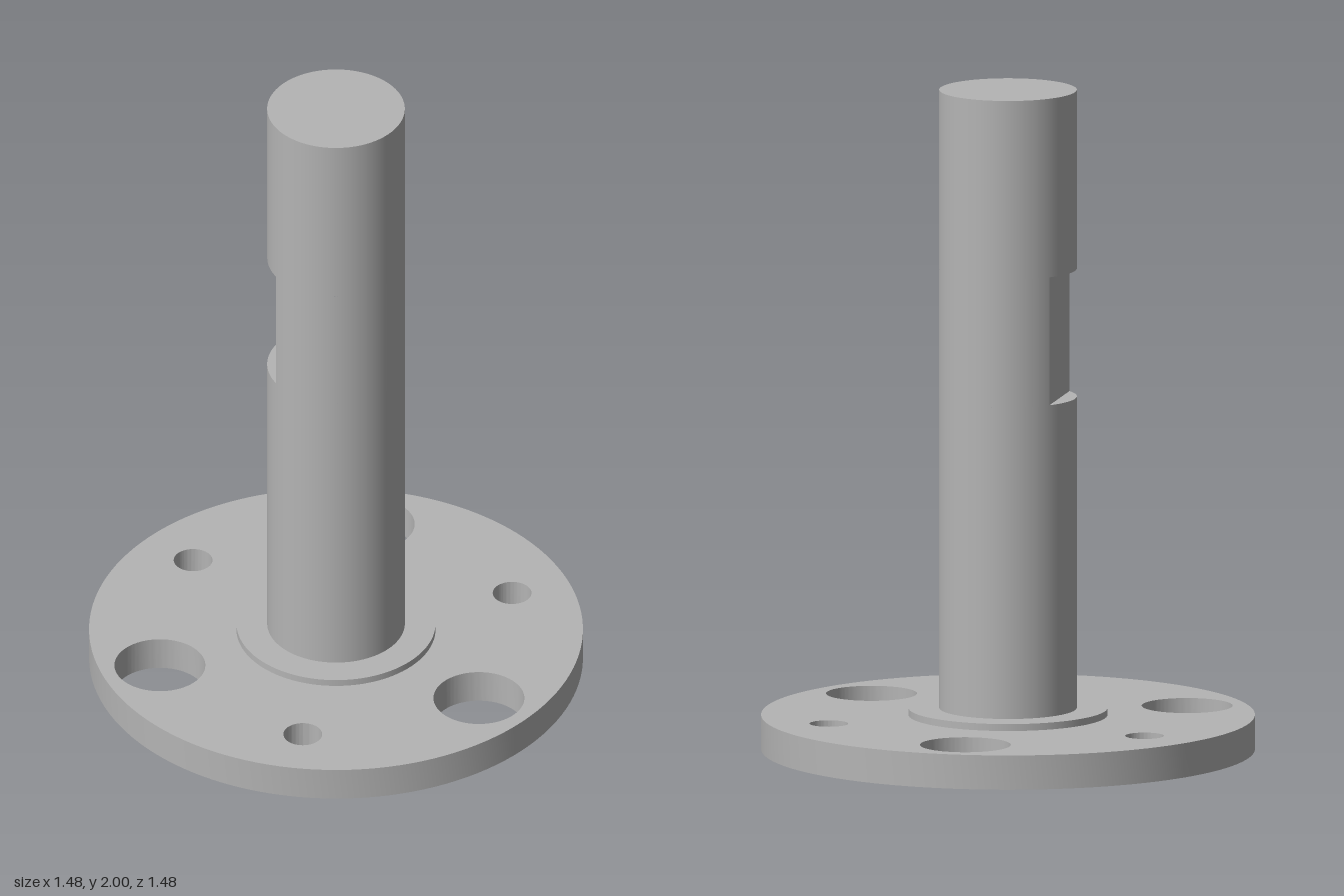
import * as THREE from 'three';
import { toCreasedNormals } from 'three/addons/utils/BufferGeometryUtils.js';

export function createModel() {
  const model = new THREE.Group();
  const steel = new THREE.MeshStandardMaterial({ color: 0xb4b4b4 });
  steel.name = 'steel grey';

  const FLANGE_R = 0.739, FLANGE_TOP = 0.104;
  const COLLAR_R = 0.298, COLLAR_TOP = 0.125;
  const SHAFT_R = 0.206, TOP = 2;
  const NOTCH_X = 0.158, NOTCH_LOW = 1.07, NOTCH_HIGH = 1.458;
  const SEG = 96;

  function add(name, geometry, y = 0, parent = model) {
    const mesh = new THREE.Mesh(geometry, steel);
    mesh.name = name;
    mesh.position.y = y;
    parent.add(mesh);
    return mesh;
  }

  // Open cylinder wall between two heights
  function wall(name, r, y0, y1, parent, start = 0, length = Math.PI * 2) {
    const g = new THREE.CylinderGeometry(r, r, y1 - y0, SEG, 1, true, start, length);
    return add(name, g, (y0 + y1) / 2, parent);
  }

  // Flange with three large and three small holes, alternating every 60 degrees
  const disc = new THREE.Shape().absarc(0, 0, FLANGE_R, 0, Math.PI * 2, false);
  for (let i = 0; i < 6; i++) {
    const angle = Math.PI / 2 + i * Math.PI / 3;
    const r = i % 2 === 0 ? 0.136 : 0.058;
    disc.holes.push(new THREE.Path().absarc(
      0.56 * Math.cos(angle), 0.56 * Math.sin(angle), r, 0, Math.PI * 2, true));
  }
  const flange = new THREE.ExtrudeGeometry(disc, {
    depth: FLANGE_TOP, bevelEnabled: false, curveSegments: 64,
  }).rotateX(-Math.PI / 2);
  add('flange', toCreasedNormals(flange, 0.6));

  // Low collar around the foot of the shaft
  const collar = new THREE.Group();
  collar.name = 'collar';
  model.add(collar);
  wall('collarRim', COLLAR_R, FLANGE_TOP, COLLAR_TOP, collar);
  add('collarTop', new THREE.RingGeometry(SHAFT_R, COLLAR_R, SEG).rotateX(-Math.PI / 2),
    COLLAR_TOP, collar);

  // Shaft, with a flat milled into its -x side
  const shaft = new THREE.Group();
  shaft.name = 'shaft';
  model.add(shaft);
  const half = Math.acos(NOTCH_X / SHAFT_R);
  wall('shaftLower', SHAFT_R, COLLAR_TOP, NOTCH_LOW, shaft);
  wall('shaftMiddle', SHAFT_R, NOTCH_LOW, NOTCH_HIGH, shaft,
    Math.PI * 1.5 + half, Math.PI * 2 - 2 * half);
  wall('shaftUpper', SHAFT_R, NOTCH_HIGH, TOP, shaft);
  add('shaftTop', new THREE.CircleGeometry(SHAFT_R, SEG).rotateX(-Math.PI / 2), TOP, shaft);

  // Flat face of the notch and the ledges below and above it
  const flat = new THREE.PlaneGeometry(2 * SHAFT_R * Math.sin(half), NOTCH_HIGH - NOTCH_LOW);
  add('notchFace', flat.rotateY(-Math.PI / 2), (NOTCH_LOW + NOTCH_HIGH) / 2, shaft)
    .position.x = -NOTCH_X;
  const segment = new THREE.Shape().absarc(0, 0, SHAFT_R, Math.PI - half, Math.PI + half, false);
  for (const [name, y, tilt] of [
    ['notchLowerLedge', NOTCH_LOW, -Math.PI / 2],
    ['notchUpperLedge', NOTCH_HIGH, Math.PI / 2],
  ]) {
    add(name, new THREE.ShapeGeometry(segment, 24).rotateX(tilt), y, shaft);
  }

  return model;
}
